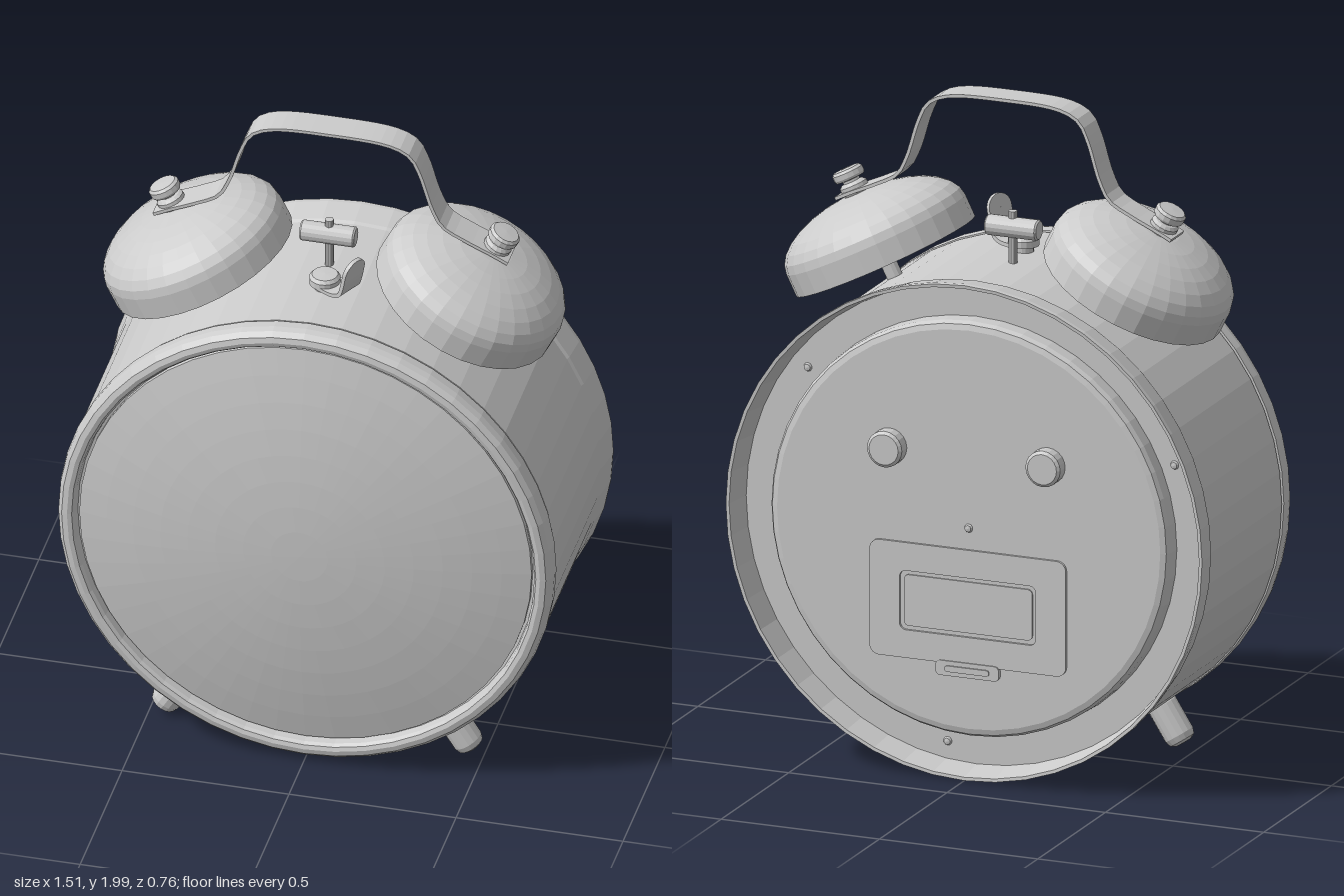
import * as THREE from 'three';

const material = new THREE.MeshStandardMaterial({ color: 0xcccccc, flatShading: true, side: THREE.DoubleSide });
const CENTRE_Y = 0.762;
const BELL_Z = -0.04;

function add(parent, name, geometry, x = 0, y = 0, z = 0) {
  const mesh = new THREE.Mesh(geometry, material);
  mesh.name = name;
  mesh.position.set(x, y, z);
  parent.add(mesh);
  return mesh;
}

// Turned part around y, from [radius, height] pairs
function turned(profile, segments) {
  return new THREE.LatheGeometry(profile.map(([r, h]) => new THREE.Vector2(r, h)), segments);
}

// Turned part around z
const turnedZ = (profile, segments) => turned(profile, segments).rotateX(Math.PI / 2);

// Flat strip of metal bent along a smooth path, centred across its width
function strip(points, thickness, width, samples) {
  const curve = new THREE.CatmullRomCurve3(points.map(([x, y]) => new THREE.Vector3(x, y, 0)));
  const upper = [], lower = [];
  for (let i = 0; i <= samples; i++) {
    const p = curve.getPointAt(i / samples), t = curve.getTangentAt(i / samples);
    const nx = -t.y * thickness / 2, ny = t.x * thickness / 2;
    upper.push(new THREE.Vector2(p.x + nx, p.y + ny));
    lower.unshift(new THREE.Vector2(p.x - nx, p.y - ny));
  }
  return new THREE.ExtrudeGeometry(new THREE.Shape([...upper, ...lower]), { depth: width, bevelEnabled: false })
    .translate(0, 0, -width / 2);
}

function roundedRect(w, h, r, Type = THREE.Shape) {
  const s = new Type(), x = w / 2, y = h / 2;
  s.absarc(x - r, y - r, r, 0, Math.PI / 2);
  s.absarc(-x + r, y - r, r, Math.PI / 2, Math.PI);
  s.absarc(-x + r, -y + r, r, Math.PI, Math.PI * 1.5);
  s.absarc(x - r, -y + r, r, Math.PI * 1.5, Math.PI * 2);
  s.closePath();
  return s;
}

const plate = (shape, depth) =>
  new THREE.ExtrudeGeometry(shape, { depth, bevelEnabled: false, curveSegments: 4 });

function createBell(side) {
  const bell = new THREE.Group();
  bell.name = side > 0 ? 'leftBell' : 'rightBell';
  bell.position.set(side * 0.39, 1.462, BELL_Z);
  bell.rotation.z = -side * Math.atan(0.5);

  // Thin cup: inner wall down to the lip, outer wall up to the crown
  const dome = (radius, height) => Array.from({ length: 9 }, (_, i) => {
    const a = i / 8 * Math.PI / 2;
    return [Math.max(0, radius * Math.cos(a)), 0.07 + height * Math.sin(a)];
  });
  const inner = dome(0.277, 0.127).reverse();
  add(bell, 'bellCup', turned([...inner, [0.277, 0], [0.285, 0], ...dome(0.285, 0.135)], 28));
  add(bell, 'bellPost', new THREE.CylinderGeometry(0.024, 0.024, 0.33, 12), 0, 0.045, 0);
  // Stacked nut and cap holding the handle
  add(bell, 'bellNut', turned([[0, 0.2], [0.038, 0.2], [0.042, 0.21], [0.042, 0.23], [0.034, 0.238],
    [0.026, 0.24], [0.026, 0.247], [0.044, 0.25], [0.047, 0.257], [0.047, 0.272], [0.04, 0.28], [0, 0.282]], 16));
  return bell;
}

export function createModel() {
  const clock = new THREE.Group();
  clock.name = 'alarmClock';

  // Drum with flared back rim and a raised back plate inside it
  const body = new THREE.Group();
  body.name = 'body';
  body.position.y = CENTRE_Y;
  clock.add(body);
  add(body, 'case', turnedZ([[0, -0.34], [0.605, -0.34], [0.622, -0.335], [0.63, -0.322], [0.632, -0.28],
    [0.728, -0.28], [0.742, -0.374], [0.752, -0.375], [0.753, -0.36], [0.742, -0.285], [0.737, -0.275],
    [0.737, 0.25], [0.728, 0.252], [0.728, 0.26]], 48));
  add(body, 'bezel', turnedZ([[0.728, 0.256], [0.74, 0.258], [0.742, 0.29], [0.738, 0.31], [0.725, 0.325],
    [0.708, 0.329], [0.695, 0.325], [0.688, 0.315], [0.685, 0.29], [0.66, 0.285]], 48));

  // Shallow domed glass
  const glass = [];
  for (let i = 8; i >= 0; i--) {
    const r = 0.677 * i / 8;
    glass.push([r, 0.38 - r * r / 6]);
  }
  add(body, 'glass', turnedZ([[0.677, 0.28], ...glass], 48));

  // Setting knobs on the back
  for (const side of [-1, 1]) {
    add(body, 'settingKnob', turnedZ([[0, -0.384], [0.046, -0.384], [0.055, -0.377], [0.055, -0.335]], 20),
      side * 0.25, 0.225, 0);
  }

  // Battery cover with a sunken window and a latch
  const cover = roundedRect(0.62, 0.35, 0.03);
  cover.holes.push(roundedRect(0.43, 0.18, 0.02, THREE.Path));
  add(body, 'batteryCover', plate(cover, 0.01), 0, -0.235, -0.348);
  add(body, 'batteryWindow', plate(roundedRect(0.405, 0.155, 0.015), 0.006), 0, -0.235, -0.345);
  add(body, 'batteryLatch', plate(roundedRect(0.2, 0.045, 0.015), 0.014), 0, -0.425, -0.352);
  add(body, 'latchGrip', plate(roundedRect(0.14, 0.018, 0.008), 0.01), 0, -0.425, -0.357);

  // Small screws
  const screw = turnedZ([[0, -0.01], [0.01, -0.008], [0.014, 0]], 10);
  add(body, 'centreScrew', screw, 0, 0.005, -0.339);
  for (let i = 0; i < 3; i++) {
    const a = Math.PI * (0.21 + i * 2 / 3);
    add(body, 'rimScrew', screw, 0.675 * Math.cos(a), 0.675 * Math.sin(a), -0.279);
  }

  // Bells and splayed feet
  for (const side of [-1, 1]) {
    clock.add(createBell(side));
    const foot = add(clock, 'foot', turned([[0.036, 0.7], [0.046, 0.74], [0.046, 0.84], [0.04, 0.858],
      [0.026, 0.866], [0, 0.868]], 16), 0, CENTRE_Y, 0.163);
    foot.rotation.z = -side * (Math.PI - 0.565);
  }

  // Handle strip between the bell nuts
  const half = [[-0.53, 1.632], [-0.486, 1.654], [-0.4, 1.693], [-0.335, 1.73], [-0.303, 1.79],
    [-0.268, 1.9], [-0.238, 1.957], [-0.18, 1.985]];
  const path = [...half, [0, 1.995], ...half.map(([x, y]) => [-x, y]).reverse()];
  add(clock, 'handle', strip(path, 0.01, 0.095, 48), 0, 0, BELL_Z);

  // Hammer on its stem
  add(clock, 'hammerStem', new THREE.CylinderGeometry(0.013, 0.013, 0.19, 10), -0.02, 1.56, -0.06);
  add(clock, 'hammerHead', turned([[0, -0.082], [0.027, -0.082], [0.031, -0.077], [0.031, 0.077],
    [0.027, 0.082], [0, 0.082]], 16).rotateZ(Math.PI / 2), -0.022, 1.605, -0.06);

  // Alarm stop lever with its upturned tab
  const lever = new THREE.Group();
  lever.name = 'stopLever';
  lever.position.set(-0.003, 1.5, 0.06);
  lever.rotation.y = -0.47;
  clock.add(lever);
  add(lever, 'leverPivot', turned([[0.03, -0.03], [0.03, 0.014], [0.046, 0.016], [0.046, 0.036],
    [0.038, 0.046], [0, 0.048]], 18));
  add(lever, 'leverTab', strip([[0, 0.018], [0.06, 0.018], [0.088, 0.03], [0.1, 0.06], [0.11, 0.105]],
    0.012, 0.085, 14));
  const tip = add(lever, 'leverTip', new THREE.CylinderGeometry(0.0425, 0.0425, 0.012, 16, 1, false, 0, Math.PI)
    .rotateZ(Math.PI / 2), 0.11, 0.104, 0);
  tip.rotation.z = -0.2;

  return clock;
}
